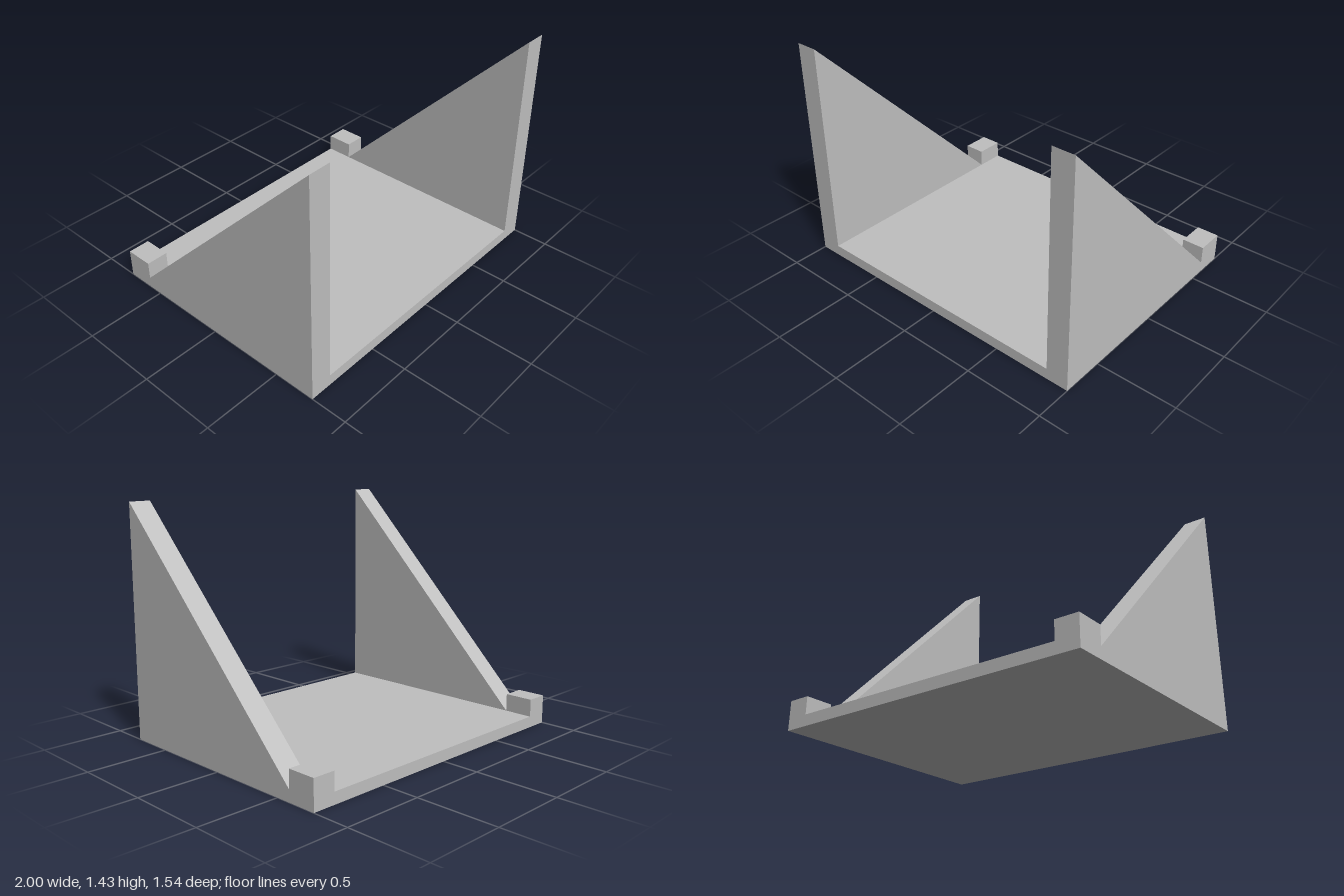
import * as THREE from 'three';

const WALL = 0.14, FLOOR = 0.07, HALF_DEPTH = 0.77;

export function createModel() {
  const model = new THREE.Group();
  model.name = 'cradleStand';

  const grey = new THREE.MeshStandardMaterial({ color: 0xbfbfbf });
  grey.name = 'plain grey';

  // Floor plate between the two sides
  const floor = new THREE.Mesh(
    new THREE.BoxGeometry(2 - 2 * WALL, FLOOR, 2 * HALF_DEPTH), grey);
  floor.name = 'floorPlate';
  floor.position.y = FLOOR / 2;
  model.add(floor);

  // Side profile (z, y): sloped wall, notch and raised stop at the back
  const profile = new THREE.Shape([
    [-HALF_DEPTH, 0], [HALF_DEPTH, 0], [HALF_DEPTH, 1.43],
    [-0.59, FLOOR], [-0.59, 0.18], [-HALF_DEPTH, 0.18],
  ].map(([z, y]) => new THREE.Vector2(z, y)));

  const sideGeometry = new THREE.ExtrudeGeometry(profile, { depth: WALL, bevelEnabled: false });
  sideGeometry.translate(0, 0, -WALL / 2);
  sideGeometry.rotateY(-Math.PI / 2);

  for (const [name, sign] of [['leftSide', 1], ['rightSide', -1]]) {
    const side = new THREE.Mesh(sideGeometry, grey);
    side.name = name;
    side.position.x = sign * (1 - WALL / 2);
    model.add(side);
  }
  return model;
}
